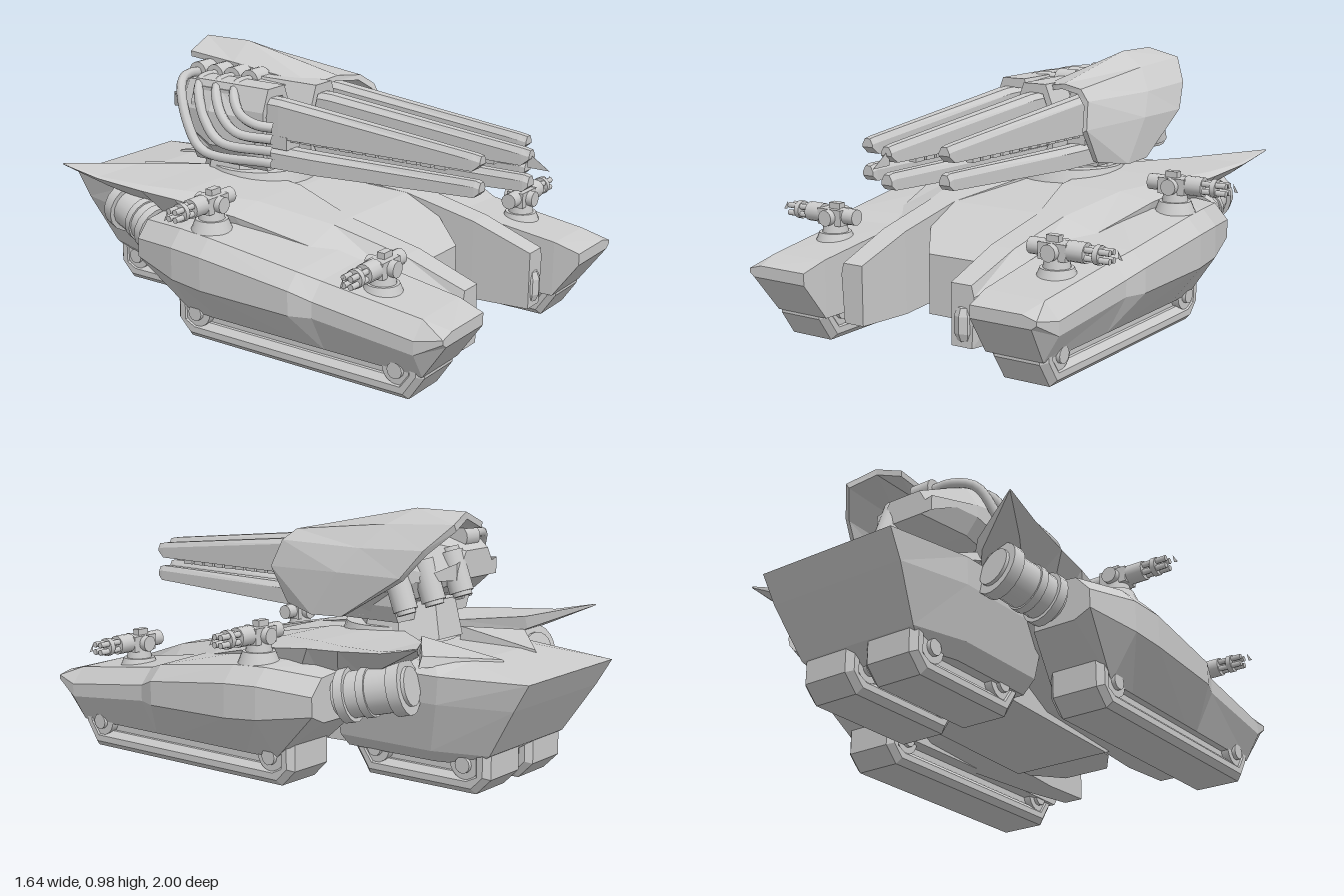
import * as THREE from 'three';

const flat = new THREE.MeshStandardMaterial({ color: 0xcccccc, flatShading: true, side: THREE.DoubleSide });
const smooth = new THREE.MeshStandardMaterial({ color: 0xcccccc });

// Closed skin through rings of [x, y, z] points, capped, wound outward
function loft(rings) {
  const n = rings[0].length, pos = [], tris = [];
  rings.forEach(r => r.forEach(p => pos.push(...p)));
  for (let i = 0; i < rings.length - 1; i++) for (let j = 0; j < n; j++) {
    const a = i * n + j, b = i * n + (j + 1) % n;
    tris.push([a, b, b + n], [a, b + n, a + n]);
  }
  const last = (rings.length - 1) * n;
  // caps zip across the ring so that thin curved sections stay filled correctly
  for (let lo = 0, hi = n - 1; hi - lo > 1; lo++, hi--) {
    for (const [o, flip] of [[0, true], [last, false]]) {
      const quad = [[lo, lo + 1, hi]];
      if (hi - 1 > lo + 1) quad.push([lo + 1, hi - 1, hi]);
      quad.forEach(([a, b, c]) => tris.push(flip ? [o + a, o + c, o + b] : [o + a, o + b, o + c]));
    }
  }
  const v = i => new THREE.Vector3(pos[3 * i], pos[3 * i + 1], pos[3 * i + 2]);
  const volume = tris.reduce((s, [a, b, c]) => s + v(a).dot(v(b).cross(v(c))), 0);
  if (volume < 0) tris.forEach(t => t.reverse());
  const g = new THREE.BufferGeometry();
  g.setAttribute('position', new THREE.Float32BufferAttribute(pos, 3));
  g.setIndex(tris.flat());
  g.computeVertexNormals();
  return g;
}

function add(parent, name, geo, mat = flat, x = 0, y = 0, z = 0) {
  const m = new THREE.Mesh(geo, mat);
  m.name = name;
  m.position.set(x, y, z);
  parent.add(m);
  return m;
}

const box = (w, h, d) => new THREE.BoxGeometry(w, h, d);
const cyl = (r1, r2, h, n = 20) => new THREE.CylinderGeometry(r1, r2, h, n);
const shape = pts => new THREE.Shape(pts.map(p => new THREE.Vector2(...p)));

// Cross-section at one z, mirrored by s
const section = (s, z, pts) => pts.map(([x, y]) => [s * x, y, z]);
const rect = (s, z, x0, x1, y0, y1) => section(s, z, [[x0, y0], [x1, y0], [x1, y1], [x0, y1]]);

// Extrude a (z, y) side profile across x, centred on x = 0
function sideExtrude(shp, width, bevel = 0) {
  const g = new THREE.ExtrudeGeometry(shp, {
    depth: width - 2 * bevel, bevelEnabled: bevel > 0, bevelSize: bevel, bevelThickness: bevel,
    bevelOffset: -bevel, bevelSegments: 1,
  });
  return g.translate(0, 0, bevel - width / 2).rotateY(-Math.PI / 2);
}

function track(parent, name, x, z0, z1, width) {
  const g = new THREE.Group();
  g.name = name;
  const outline = d => [[z0 + d, .24 - d], [z0 + d, .06 + d * .3], [z0 + .06 + d * .5, d], [z1 - .06 - d * .5, d],
    [z1 - d, .09 + d * .2], [z1 - d, .24 - d]];
  const belt = shape(outline(0));
  belt.holes.push(new THREE.Path(outline(.068).map(p => new THREE.Vector2(...p))));
  add(g, 'trackBelt', sideExtrude(belt, width, .022), flat, x);
  add(g, 'trackCore', sideExtrude(shape(outline(.05)), width - .07), flat, x);
  for (const z of [z0 + .1, z1 - .1]) {
    add(g, 'trackWheel', cyl(.06, .06, width - .01).rotateZ(Math.PI / 2), smooth, x, .11, z);
    add(g, 'wheelHub', cyl(.03, .03, width + .02, 12).rotateZ(Math.PI / 2), smooth, x, .105, z);
  }
  parent.add(g);
}

// Small gun whose barrels point outward along x
function sideGun(parent, s, x, y, z) {
  const g = new THREE.Group();
  g.name = 'sideGun';
  const along = (name, r1, r2, len, cx, cy = .085, cz = 0, n = 14) =>
    add(g, name, cyl(r1, r2, len, n).rotateZ(-s * Math.PI / 2), smooth, s * cx, cy, cz);
  add(g, 'gunBase', cyl(.06, .078, .045), smooth);
  add(g, 'gunPivot', cyl(.042, .05, .05), smooth, 0, .04, 0);
  add(g, 'gunBody', box(.11, .06, .07), flat, 0, .08, 0);
  add(g, 'gunSight', box(.05, .035, .03), flat, -s * .01, .115, 0);
  add(g, 'gunTrunnion', cyl(.03, .03, .12).rotateX(Math.PI / 2), smooth, 0, .08, 0);
  along('gunBreech', .03, .03, .07, -.07);
  along('gunJacket', .036, .036, .07, .085);
  for (let i = 0; i < 4; i++) {
    const a = Math.PI / 4 + i * Math.PI / 2;
    along('gunBarrel', .011, .011, .11, .16, .085 + .02 * Math.sin(a), .02 * Math.cos(a), 8);
  }
  along('barrelCollar', .034, .034, .02, .165);
  add(g, 'muzzleFin', loft([-.0005, .0005].map(d => section(s, d, [[.235, .11], [.24, .08], [.255, .078]]))));
  g.position.set(s * x, y, z);
  parent.add(g);
}

function launcher(parent, x, front, tip) {
  const g = new THREE.Group();
  g.name = 'launcher';
  const hex = k => [[-.05, .885], [.05, .885], [.083, .8], [.083, .63], [.055, .57], [-.055, .57], [-.083, .63], [-.083, .8]]
    .map(([a, b]) => new THREE.Vector2(a * k, .73 + (b - .73) * k));
  const frame = new THREE.Shape(hex(1));
  frame.holes.push(new THREE.Path(hex(.76)));
  add(g, 'launcherFrame', new THREE.ExtrudeGeometry(frame, { depth: .35, bevelEnabled: false }), flat, x, 0, front - .35);
  add(g, 'launcherBack', box(.13, .26, .2), flat, x, .73, front - .24);
  // upper and lower rails, tapering forward
  const lean = x * .1;
  const rail = (z, w, y0, y1, dx) => section(1, z, [[x + dx - w, y0], [x + dx + w, y0], [x + dx + w, y1 - .02],
    [x + dx + w * .5, y1], [x + dx - w * .5, y1], [x + dx - w, y1 - .02]]);
  add(g, 'upperRail', loft([rail(front - .2, .042, .71, .855, lean), rail(front + .05, .04, .705, .85, lean),
    rail(tip - .03, .025, .71, .77, 0), rail(tip, .022, .735, .765, 0)]));
  add(g, 'lowerRail', loft([rail(front - .2, .046, .585, .665, lean), rail(front + .2, .042, .59, .668, lean),
    rail(tip - .02, .025, .617, .675, 0), rail(tip, .022, .635, .67, 0)]));
  for (let i = 0; i < 12; i++) add(g, 'railTooth', box(.03, .014, .045), flat, x + lean * (1 - i / 12), .7, front + .1 + i * .057);
  for (const y of [.66, .775]) add(g, 'launcherLug', box(.1, .03, .05), flat, x, y, front - .04);
  add(g, 'railBracket', box(.08, .05, .12), flat, x + lean, .69, front + .03);
  parent.add(g);
}

export function createModel() {
  const model = new THREE.Group();
  model.name = 'tank';

  // Central hull and tapered nose
  add(model, 'centerHull', sideExtrude(shape([[.45, .37], [.44, .1], [.4, .08], [-.35, .1], [-.4, .46], [-.25, .5], [0, .49], [.3, .45]]), .42));
  add(model, 'nosePanel', loft([rect(1, .3, -.2, .2, .09, .45), rect(1, .45, -.19, .19, .085, .38), rect(1, .58, -.1, .1, .09, .315)]));

  // Rear hull, stacked plan outlines
  const plan = (y, w, wr, zm, zr) => [[-w, y, -.22], [w, y, -.22], [w, y, zm], [wr, y, zr], [-wr, y, zr], [-w, y, zm]];
  add(model, 'rearHull', loft([plan(.1, .26, .22, -.6, -.75), plan(.15, .31, .25, -.62, -.825), plan(.33, .355, .285, -.67, -.94),
    plan(.43, .36, .29, -.68, -1), plan(.465, .29, .22, -.62, -.72)]));

  for (const s of [1, -1]) {
    // Outer pods: z, inner x, bottom x, outer x, then rising y values
    const pod = [
      [.96, .36, .6, .62, .24, .255, .27, .285, .285],
      [.86, .35, .58, .64, .1, .2, .25, .31, .315],
      [.46, .34, .58, .655, .1, .24, .3, .36, .37],
      [.38, .34, .58, .685, .1, .24, .33, .385, .395],
      [0, .34, .58, .70, .1, .25, .375, .435, .46],
      [-.14, .34, .58, .69, .1, .26, .38, .44, .46],
      [-.35, .4, .57, .635, .26, .29, .36, .42, .44],
    ].map(([z, xi, xb, xo, y0, y1, y2, y3, y4]) => section(s, z, [[xi, y0], [xb, y0], [xo, y1], [xo, y2], [xo - .055, y3], [xi, y4]]));
    add(model, 'sidePod', loft(pod));

    // Prong running back into the swept wing: z, bottom x pair, top x triple, y values
    const wing = [
      [.84, .195, .28, .195, .28, .29, .09, .27, .31],
      [.6, .19, .31, .19, .29, .35, .08, .32, .39],
      [.3, .19, .38, .19, .3, .44, .1, .405, .45],
      [0, .1, .4, .1, .36, .5, .12, .475, .5],
      [-.25, .1, .36, .1, .48, .54, .25, .505, .525],
      [-.4, .2, .4, .16, .53, .557, .4, .515, .53],
      [-.6, .36, .52, .34, .57, .582, .49, .535, .54],
      [-.76, .594, .598, .594, .6, .602, .566, .569, .572],
    ].map(([z, a, b, c, e, d, y0, y1, y2]) => section(s, z, [[a, y0], [b, y0], [d, y1], [e, y2], [c, y2]]));
    add(model, 'wing', loft(wing));
    add(model, 'rearFlap', loft([[[s * .11, .455, -.79], [s * .36, .45, -.6], [s * .12, .45, -.45]],
      [[s * .112, .465, -.785], [s * .34, .49, -.6], [s * .13, .515, -.45]]]));

    // Drum between the pod and the rear hull, its back end toed inward
    const drum = new THREE.Group();
    drum.name = 'sideDrum';
    for (const [r, len, z] of [[.083, .2, 0], [.098, .035, .1], [.09, .03, .02], [.1, .045, -.105], [.07, .28, 0]])
      add(drum, 'drumSegment', cyl(r, r, len, 18).rotateX(Math.PI / 2), smooth, 0, 0, z);
    drum.position.set(s * .455, .37, -.485);
    drum.rotation.set(.22, s * .25, 0, 'YXZ');
    model.add(drum);

    track(model, 'frontTrack', s * .475, -.215, .86, .225);
    track(model, 'rearTrack', s * .14, -.82, -.235, .225);
    sideGun(model, s, .49, .34, .64);
    sideGun(model, s, .565, .457, -.05);
  }

  // Lamp on the left prong
  add(model, 'prongLamp', new THREE.CapsuleGeometry(.04, .06, 2, 8), flat, .24, .17, .82);

  // Turret ring and neck
  add(model, 'turretRing', cyl(.2, .22, .06, 28), smooth, -.01, .51, -.25);
  add(model, 'turretNeck', cyl(.17, .2, .14, 8).rotateY(Math.PI / 8), flat, -.01, .565, -.3);

  // Launcher housing and three twin-rail launchers
  const housing = (z, w, y0, y1) => section(1, z, [[-w + .05, y0], [w - .05, y0], [w, y0 + .06], [w, y1 - .1], [w - .06, y1], [-w + .06, y1], [-w, y1 - .1], [-w, y0 + .06]]);
  add(model, 'launcherHousing', loft([housing(-.1, .25, .58, .87), housing(-.3, .275, .59, .88), housing(-.47, .24, .66, .87), housing(-.6, .13, .73, .83)]));
  launcher(model, -.165, -.06, .83);
  launcher(model, 0, .04, .93);
  launcher(model, .165, -.06, .83);
  add(model, 'railSpike', loft([-.0005, .0005].map(x => [[x, .7, .915], [x, .7, 1], [x, .755, .915]])));

  // Angular shield over the left half: front, middle and rear edges
  const edges = [
    [[0, .87, -.02], [.12, .89, .02], [.22, .88, .06], [.27, .84, .09], [.29, .74, .13], [.29, .61, .05]],
    [[0, .91, -.4], [.12, .977, -.42], [.235, .925, -.37], [.305, .84, -.3], [.338, .75, -.22], [.335, .585, -.1]],
    [[0, .93, -.62], [.12, .975, -.63], [.24, .94, -.66], [.31, .85, -.58], [.338, .75, -.5], [.335, .59, -.24]],
  ];
  const inset = ([x, y, z]) => [x + (.03 - x) * .07, y + (.6 - y) * .07, z];
  add(model, 'shield', loft(edges.map(e => [...e, ...e.map(inset).reverse()])));

  // Canisters and hoses on the right half
  for (let i = 0; i < 4; i++) {
    const z = -.52 + i * .087, y = .63 + i * .046;
    add(model, 'canister', cyl(.042, .042, .085, 16).rotateZ(Math.PI / 2), smooth, -.035, .868, z);
    const path = new THREE.CatmullRomCurve3([[-.07, .87, z], [-.15, .875, z + .01], [-.235, .85, z + .05],
      [-.285, (y + .82) / 2, z + .12], [-.295, y, z + .2], [-.265, y - .01, .0]].map(p => new THREE.Vector3(...p)));
    add(model, 'hose', new THREE.TubeGeometry(path, 28, .019, 8), smooth);
  }

  // Exhaust cylinders under the back of the shield
  for (let i = 0; i < 3; i++) {
    for (const [name, r, len] of [['exhaust', .045, .15], ['exhaustCap', .035, .18]]) {
      const e = add(model, name, cyl(r, r, len, 16), smooth, .09 + i * .08, .755 - i * .03, -.57 + i * .065);
      e.rotation.x = .35;
    }
  }
  return model;
}
